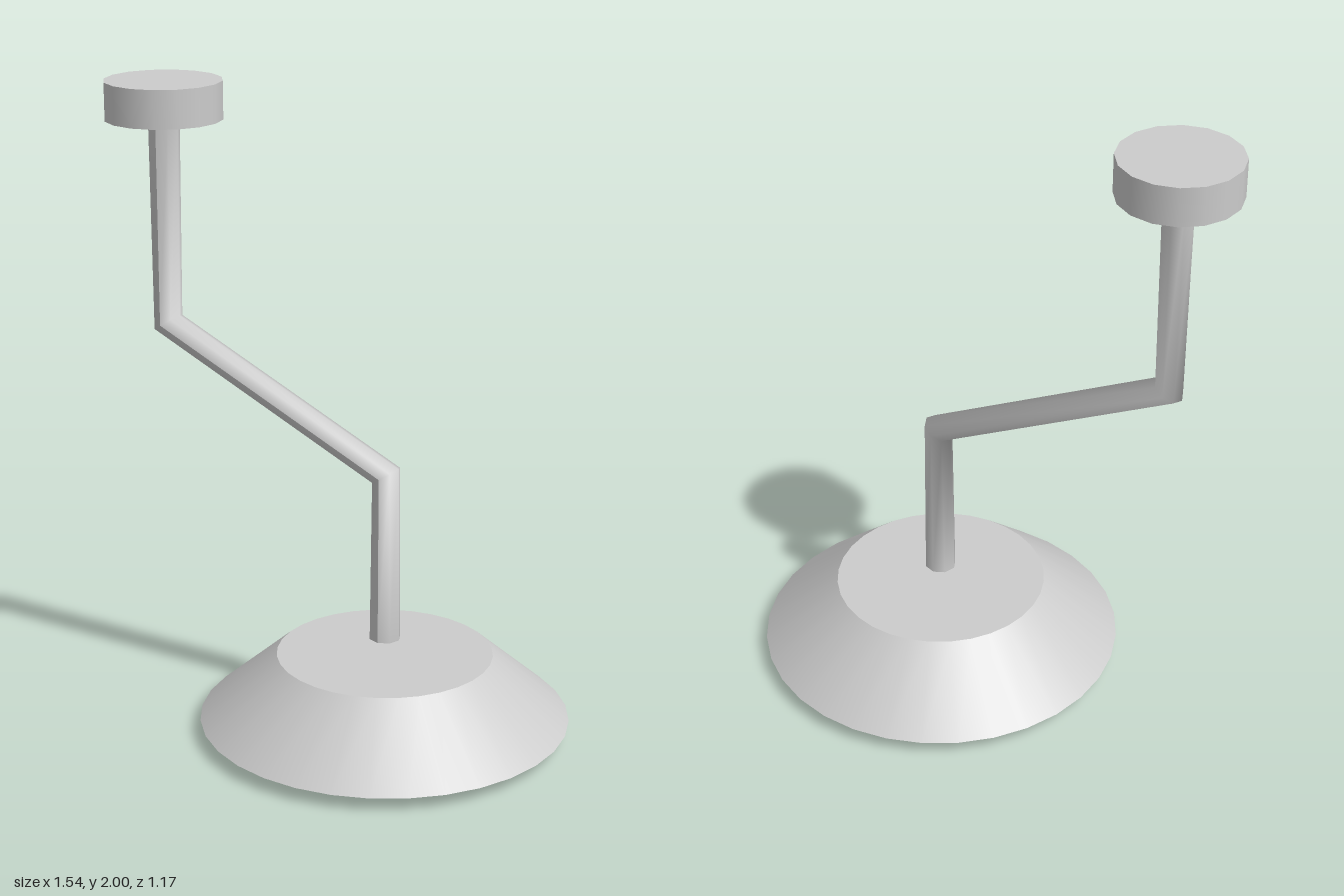
import * as THREE from 'three';

const metal = new THREE.MeshStandardMaterial({ color: 0xcccccc });
const panel = new THREE.MeshStandardMaterial({ color: 0xd2d6de });
const amber = new THREE.MeshStandardMaterial({ color: 0xdaa545 });

// Upright cylinder or cone standing between heights y0 and y1
function disc(name, rTop, rBottom, y0, y1, x, z, sides, material) {
  const geometry = new THREE.CylinderGeometry(rTop, rBottom, y1 - y0, sides);
  const mesh = new THREE.Mesh(geometry, material);
  mesh.name = name;
  mesh.position.set(x, (y0 + y1) / 2, z);
  return mesh;
}

// Bent pipe: each ring of a cylinder is moved to a path point and mitred there
function bentPipe(points, radius, sides) {
  const last = points.length - 1;
  const geometry = new THREE.CylinderGeometry(radius, radius, last, sides, last);
  const pos = geometry.attributes.position;
  const direction = (i) => points[i + 1].clone().sub(points[i]).normalize();
  const rings = points.map((p, i) => {
    const t = direction(Math.max(i - 1, 0)).add(direction(Math.min(i, last - 1))).normalize();
    return { p, across: new THREE.Vector2(-t.y, t.x) };
  });
  for (let i = 0; i < pos.count; i++) {
    const { p, across } = rings[Math.round(last / 2 - pos.getY(i))];
    const x = pos.getX(i);
    pos.setXY(i, p.x + across.x * x, p.y + across.y * x);
  }
  geometry.computeVertexNormals();
  const mesh = new THREE.Mesh(geometry, metal);
  mesh.name = 'bentArm';
  return mesh;
}

export function createModel() {
  const model = new THREE.Group();
  model.name = 'ceilingLamp';
  const lampX = 0.185, mountX = -0.59;

  // Ceiling mount and arm
  model.add(disc('ceilingMount', 0.185, 0.185, 1.88, 2, mountX, 0, 16, metal));
  const path = [[mountX, 1.88], [mountX, 1.23], [lampX, 0.845], [lampX, 0.305]];
  model.add(bentPipe(path.map(([x, y]) => new THREE.Vector2(x, y)), 0.05, 8));

  // Lamp head with its light panel
  model.add(disc('shade', 0.34, 0.583, 0.045, 0.255, lampX, 0, 32, metal));
  model.add(disc('lightPanel', 0.52, 0.52, 0.028, 0.046, lampX, 0, 32, panel));

  // Ring of six bulbs
  const bulbs = new THREE.Group();
  bulbs.name = 'bulbs';
  for (let i = 0; i < 6; i++) {
    const a = (i * Math.PI) / 3;
    bulbs.add(disc('bulb', 0.075, 0.075, 0, 0.03,
      lampX + 0.31 * Math.cos(a), 0.31 * Math.sin(a), 12, amber));
  }
  model.add(bulbs);
  return model;
}
